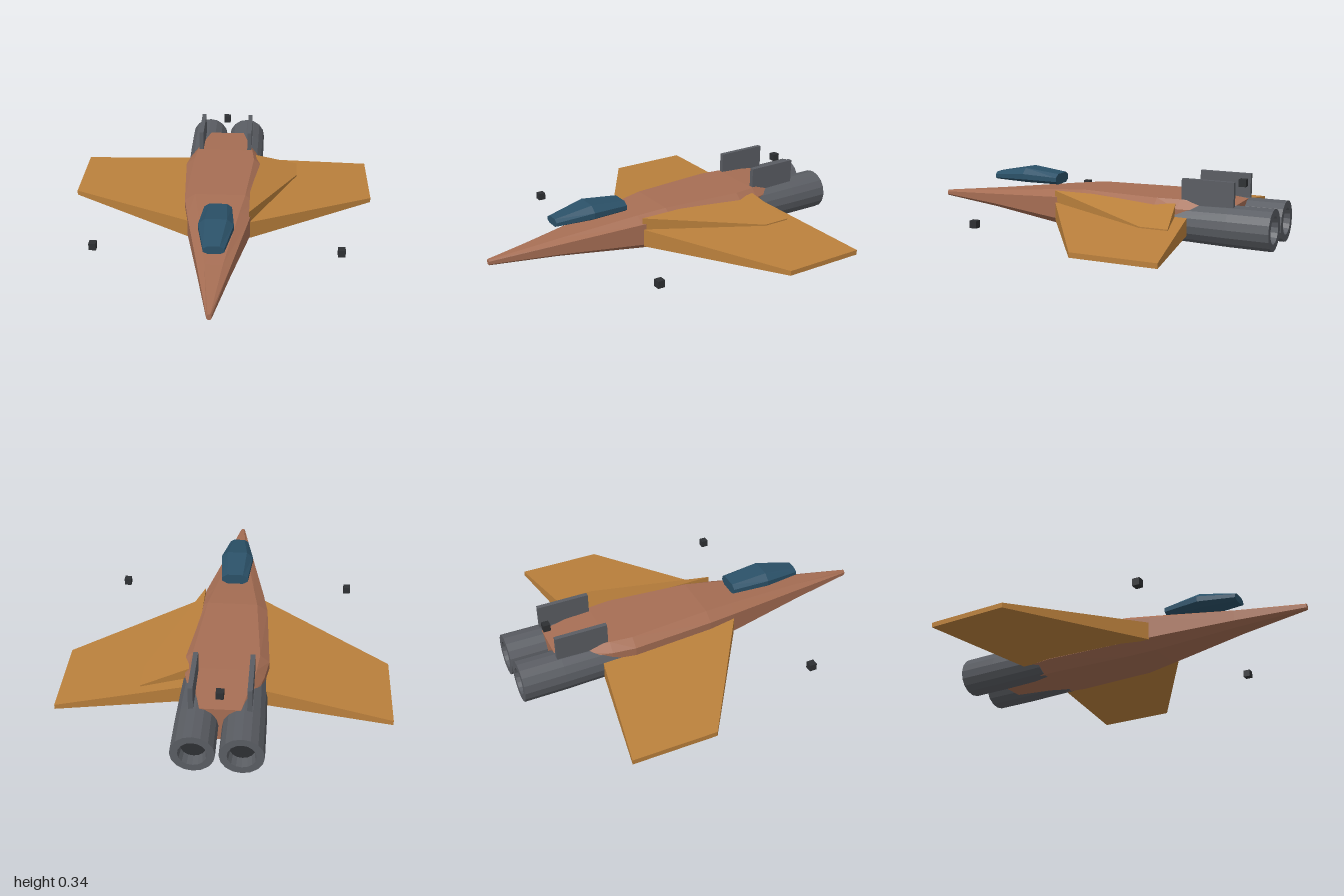
import * as THREE from 'three';
import { ConvexGeometry } from 'three/addons/geometries/ConvexGeometry.js';

const mat = (name, color, extra = {}) => {
  const m = new THREE.MeshStandardMaterial({ color, flatShading: true, ...extra });
  m.name = name;
  return m;
};

// Joins eight-sided sections running from front to back:
// [z, half widths at top, middle and bottom, then y of top, shoulder, chine and bottom]
function loft(sections) {
  const rings = sections.map(([z, wt, wm, wb, yt, yh, yl, yb]) => [
    [wm, yl, z], [wm, yh, z], [wt, yt, z], [-wt, yt, z],
    [-wm, yh, z], [-wm, yl, z], [-wb, yb, z], [wb, yb, z],
  ]);
  const pos = [];
  const tri = (...p) => p.forEach((v) => pos.push(...v));
  for (let k = 0; k < rings.length - 1; k++) {
    const a = rings[k], b = rings[k + 1];
    for (let i = 0; i < 8; i++) {
      const j = (i + 1) % 8;
      tri(a[i], b[i], a[j]);
      tri(a[j], b[i], b[j]);
    }
  }
  const first = rings[0], last = rings[rings.length - 1];
  for (let i = 1; i < 7; i++) {
    tri(first[0], first[i], first[i + 1]);
    tri(last[0], last[i + 1], last[i]);
  }
  const g = new THREE.BufferGeometry();
  g.setAttribute('position', new THREE.Float32BufferAttribute(pos, 3));
  g.computeVertexNormals();
  return g;
}

// Tapered slab between a root and a tip: [x, front z, back z, bottom y, top y]
function wingGeometry(root, tip, side) {
  const pts = [];
  for (const [x, zf, zb, y0, y1] of [root, tip])
    for (const z of [zf, zb])
      for (const y of [y0, y1]) pts.push(new THREE.Vector3(side * x, y, z));
  return new ConvexGeometry(pts);
}

export function createModel() {
  const model = new THREE.Group();
  const hull = mat('hull copper', 0xa66e54);
  const ochre = mat('wing ochre', 0xba803c);
  const steel = mat('engine grey', 0x5a5d63);
  const engineSkin = steel;
  const glass = mat('canopy blue', 0x2b5168);
  const dark = mat('dark grey', 0x2e3033);

  const add = (name, geometry, material, x = 0, y = 0, z = 0) => {
    const m = new THREE.Mesh(geometry, material);
    m.name = name;
    m.position.set(x, y, z);
    model.add(m);
    return m;
  };

  // Faceted body from needle nose to the engine bay
  add('fuselage', loft([
    [1, 0.006, 0.012, 0.006, 0.13, 0.122, 0.107, 0.1],
    [0.64, 0.045, 0.08, 0.045, 0.168, 0.15, 0.095, 0.072],
    [0.2, 0.11, 0.165, 0.1, 0.218, 0.185, 0.07, 0.025],
    [0.04, 0.135, 0.192, 0.125, 0.234, 0.195, 0.06, 0.012],
    [-0.4, 0.172, 0.22, 0.145, 0.234, 0.195, 0.058, 0.012],
    [-0.52, 0.16, 0.2, 0.135, 0.234, 0.19, 0.06, 0.015],
    [-0.8, 0.1, 0.125, 0.09, 0.217, 0.18, 0.07, 0.025],
  ]), hull);

  // Hovering faceted canopy
  add('canopy', loft([
    [0.64, 0.03, 0.052, 0.03, 0.272, 0.258, 0.24, 0.23],
    [0.44, 0.055, 0.09, 0.055, 0.31, 0.28, 0.25, 0.23],
    [0.24, 0.045, 0.072, 0.045, 0.288, 0.27, 0.247, 0.23],
  ]), glass);

  for (const s of [1, -1]) {
    const side = s > 0 ? 'left' : 'right';

    // Main wing
    add(side + 'Wing', wingGeometry(
      [0.165, 0.195, -0.57, 0.06, 0.156],
      [0.84, -0.24, -0.68, 0.06, 0.086], s), ochre);

    // Engine barrel with a hollow exhaust
    const profile = [[0, 0], [0.1, 0], [0.107, 0.3], [0.108, 0.52], [0.07, 0.52], [0.062, 0.46]];
    const barrel = new THREE.LatheGeometry(profile.map(([r, h]) => new THREE.Vector2(r, h)), 16);
    barrel.rotateX(-Math.PI / 2);
    add(side + 'Engine', barrel, engineSkin, s * 0.116, 0.112, -0.48);
    const core = new THREE.CircleGeometry(0.064, 16).rotateY(Math.PI);
    add(side + 'ExhaustCore', core, dark, s * 0.116, 0.112, -0.945);

    // Upright tail fin
    add(side + 'Fin', new THREE.BoxGeometry(0.024, 0.14, 0.275), steel, s * 0.141, 0.27, -0.663);

    // Detached marker beside the nose
    add(side + 'Marker', new THREE.BoxGeometry(0.038, 0.038, 0.038), dark, s * 0.638, 0.113, 0.4);
  }

  // Short upper winglet on the left side only
  add('leftUpperWinglet', wingGeometry(
    [0.16, 0.2, -0.5, 0.13, 0.22],
    [0.423, -0.41, -0.56, 0.1, 0.136], 1), ochre);

  // Detached marker between the fins
  add('rearMarker', new THREE.BoxGeometry(0.038, 0.038, 0.038), dark, 0, 0.315, -0.8);

  return model;
}
